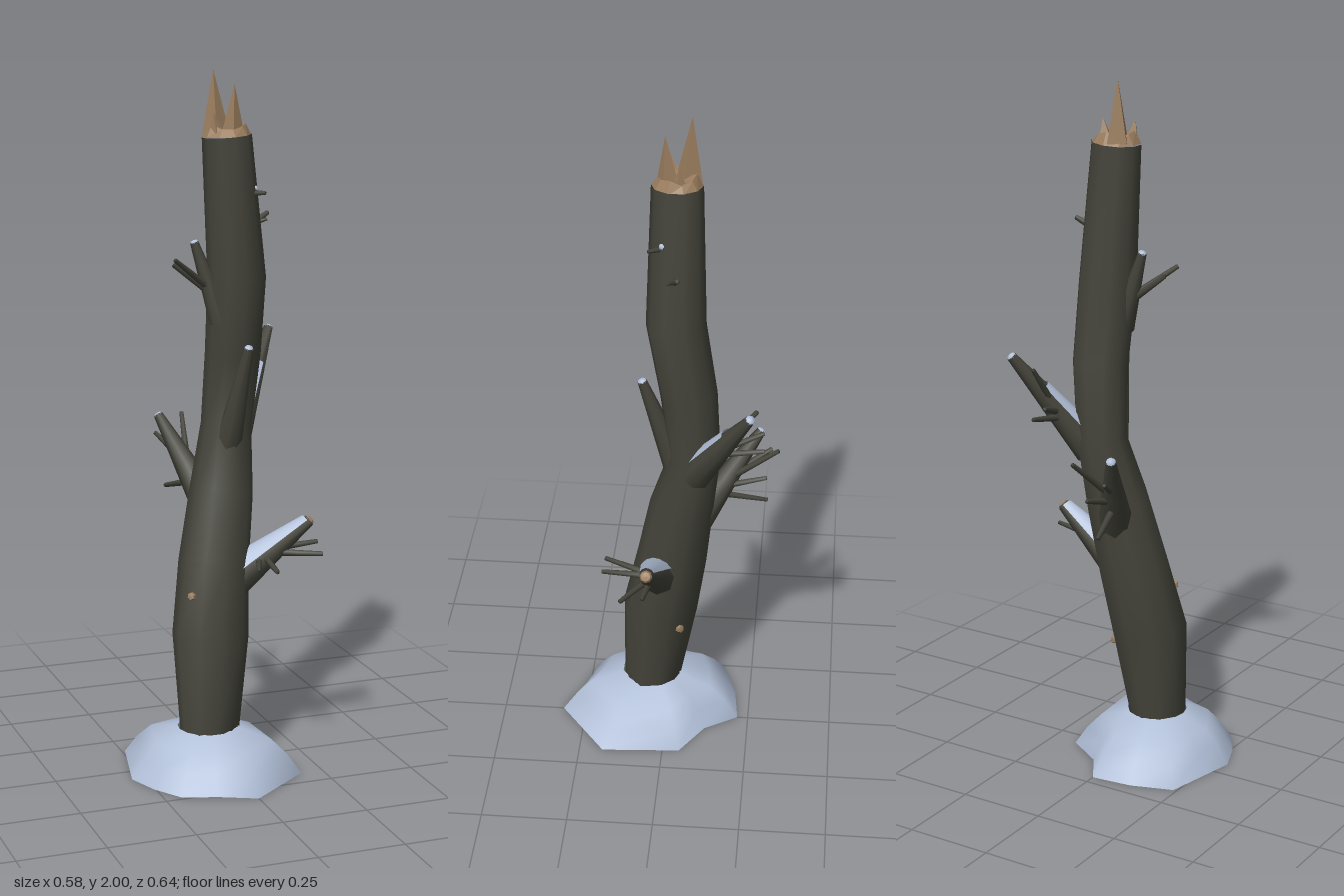
import * as THREE from 'three';

const V = (x, y, z) => new THREE.Vector3(x, y, z);
const mix = (a, b, k) => a.map((v, i) => v + (b[i] - v) * k);

// Skin a list of rings (each an array of points, counter-clockwise about the direction of travel)
function skin(rings, closed = true) {
  const n = rings[0].length, pos = [], idx = [];
  rings.forEach(r => r.forEach(p => pos.push(p.x, p.y, p.z)));
  for (let i = 0; i < rings.length - 1; i++) {
    for (let j = 0; j < (closed ? n : n - 1); j++) {
      const a = i * n + j, b = i * n + (j + 1) % n;
      idx.push(a, b, b + n, a, b + n, a + n);
    }
  }
  const g = new THREE.BufferGeometry();
  g.setAttribute('position', new THREE.Float32BufferAttribute(pos, 3));
  g.setIndex(idx);
  g.computeVertexNormals();
  return g;
}

// Sweep a round section along [x, y, z, radius] stations; an arc covers the upper side only
function limb(stations, sides, { arc = 0, ref = V(0, 1, 0), lump = () => 1 } = {}) {
  const pts = stations.map(s => V(s[0], s[1], s[2]));
  const rings = stations.map((st, i) => {
    const t = pts[Math.min(i + 1, pts.length - 1)].clone().sub(pts[Math.max(i - 1, 0)]).normalize();
    const s = t.clone().cross(ref).normalize(), u = s.clone().cross(t);
    return Array.from({ length: arc ? sides + 1 : sides }, (_, j) => {
      const a = arc ? -arc / 2 + arc * j / sides : 2 * Math.PI * j / sides;
      const r = st[3] * lump(a, st[1]);
      return pts[i].clone().addScaledVector(u, r * Math.cos(a)).addScaledVector(s, r * Math.sin(a));
    });
  });
  return skin(rings, !arc);
}

export function createModel() {
  const root = new THREE.Group();
  const mat = (name, color, side = THREE.FrontSide) => {
    const m = new THREE.MeshStandardMaterial({ color, side });
    m.name = name;
    return m;
  };
  const bark = mat('bark', 0x45453c);
  const snow = mat('snow', 0xb2c0d8, THREE.DoubleSide);
  const wood = mat('bare wood', 0x9a7d5e);
  wood.flatShading = true;
  const add = (name, geo, m, parent = root) => {
    const mesh = new THREE.Mesh(geo, m);
    mesh.name = name;
    parent.add(mesh);
  };
  const group = name => {
    const g = new THREE.Group();
    g.name = name;
    root.add(g);
    return g;
  };

  // Leaning, slightly twisted trunk
  add('trunk', limb([
    [-0.055, 0.02, 0.05, 0.085], [-0.055, 0.13, 0.05, 0.086], [-0.04, 0.4, 0.025, 0.11],
    [-0.012, 0.6, -0.015, 0.102], [0.022, 0.8, -0.046, 0.092], [0.05, 0.99, -0.084, 0.073],
    [0.064, 1.2, -0.067, 0.08], [0.062, 1.42, -0.031, 0.083], [0.032, 1.82, -0.031, 0.07],
  ], 10, { ref: V(0, 0, -1), lump: (a, y) => 1 + 0.07 * Math.max(0, 1 - y) * Math.sin(3 * a + 5 * y) }), bark);

  // Broken top: low jagged face with splinters
  const brokenTop = group('brokenTop');
  const topRing = (r, y, dy) => Array.from({ length: 10 }, (_, j) => {
    const a = 2 * Math.PI * j / 10;
    return V(0.032 + r * Math.sin(a), y + dy * (j % 3), -0.031 + r * Math.cos(a));
  });
  add('brokenFace', skin([topRing(0.07, 1.818, 0), topRing(0.052, 1.84, 0.007), topRing(0, 1.835, 0)]), wood, brokenTop);
  const splinter = (x, y, z, r) => add('splinter', limb([
    [...mix([x, 1.825, z], [0.032, 1.825, -0.031], 0.2), r], [x, y, z, 0.0005],
  ], 4, { ref: V(0.3, 0, -1) }), wood, brokenTop);
  splinter(0.005, 2.0, -0.068, 0.038);
  splinter(0.043, 1.962, 0, 0.032);
  splinter(0.07, 1.885, -0.04, 0.024);
  splinter(-0.015, 1.885, -0.01, 0.024);

  // Tapering branch with a rounded tip, twigs spread along it and snow over part of its length
  function branch(name, from, to, rBase, rTip, tip, twigEnds, cover = 0) {
    const g = group(name);
    const at = k => [...mix(from, to, k), rBase + (rTip - rBase) * k];
    add('limb', limb([at(0), at(0.5), at(1)], 8), bark, g);
    const d = V(...to).sub(V(...from)).normalize().multiplyScalar(rTip).toArray();
    const cap = (k, r) => [...to.map((v, i) => v + d[i] * k), rTip * r];
    add('tip', limb([cap(-0.15, 1.03), cap(0.35, 0.75), cap(0.5, 0)], 8), tip, g);
    if (cover) {
      const s = [0, cover / 2, cover].map(k => at(k)).map(([x, y, z, r]) => [x, y + 0.003, z, r + 0.003]);
      add('snowCover', limb(s, 5, { arc: 2.2 }), snow, g);
    }
    const r = Math.min(0.011, rTip);
    twigEnds.forEach((end, i) => {
      const start = mix(from, to, 0.35 + 0.06 * i);
      add('twig', limb([[...start, r], [...mix(start, end, 0.55), r * 0.8], [...end, r * 0.6],
        [...mix(start, end, 1.005), 0]], 6), bark, g);
    });
  }
  branch('frontLeftBranch', [0.03, 0.55, 0.02], [0.262, 0.712, 0.037], 0.06, 0.018, wood,
    [[0.055, 0.62, 0.175], [0.108, 0.61, 0.18], [0.275, 0.63, 0.11], [0.285, 0.65, 0.046]], 0.97);
  branch('uprightBranch', [0.03, 0.86, -0.06], [0.064, 1.235, 0.063], 0.047, 0.013, snow, []);
  branch('backLeftBranch', [0.08, 0.95, -0.09], [0.243, 1.235, -0.246], 0.05, 0.014, snow,
    [[0.147, 1.075, -0.282], [0.11, 1.11, -0.28], [0.16, 1.21, -0.26]], 0.65);
  branch('backRightBranch', [0.01, 0.72, -0.07], [-0.095, 0.99, -0.265], 0.055, 0.014, snow,
    [[-0.067, 0.77, -0.288], [-0.03, 0.87, -0.285], [-0.005, 0.98, -0.318], [-0.094, 0.93, -0.298]]);
  branch('rightBranch', [0.015, 1.3, -0.03], [-0.06, 1.525, -0.045], 0.034, 0.012, snow,
    [[-0.125, 1.465, -0.035], [-0.137, 1.485, 0.015]]);
  branch('upperStub', [0.07, 1.65, -0.02], [0.106, 1.675, 0.005], 0.012, 0.009, snow, [[0.12, 1.665, 0.04]]);
  branch('upperTwig', [0.09, 1.56, -0.02], [0.158, 1.6, -0.042], 0.012, 0.007, bark, [[0.147, 1.585, -0.015]]);

  // Small broken-off knots on the trunk
  const knot = (from, to) => add('knot', limb([[...from, 0.016], [...to, 0.011], [...mix(from, to, 1.05), 0]], 6), wood);
  knot([-0.085, 0.52, 0.045], [-0.112, 0.53, 0.066]);
  knot([0.02, 0.36, -0.03], [0.042, 0.362, -0.046]);

  // Irregular open-bottomed snow mound around the foot
  const rim = [[-0.27, -0.03], [-0.29, 0.06], [-0.255, 0.155], [-0.2, 0.24], [-0.105, 0.27], [0, 0.32],
    [0.185, 0.18], [0.17, -0.05], [0.06, -0.12], [0, -0.218], [-0.12, -0.205], [-0.24, -0.165]];
  const foot = [-0.055, 0.05];
  const moundRing = (k, y) => rim.map(p => {
    const [x, z] = mix(foot, p, k);
    return V(x, y, z);
  });
  const collar = rim.map(([x, z]) => {
    const a = Math.atan2(z - foot[1], x - foot[0]);
    return V(foot[0] + 0.088 * Math.cos(a), 0.132, foot[1] + 0.088 * Math.sin(a));
  });
  add('snowMound', skin([moundRing(1, 0), moundRing(0.85, 0.055), moundRing(0.68, 0.098), collar]), snow);

  return root;
}
